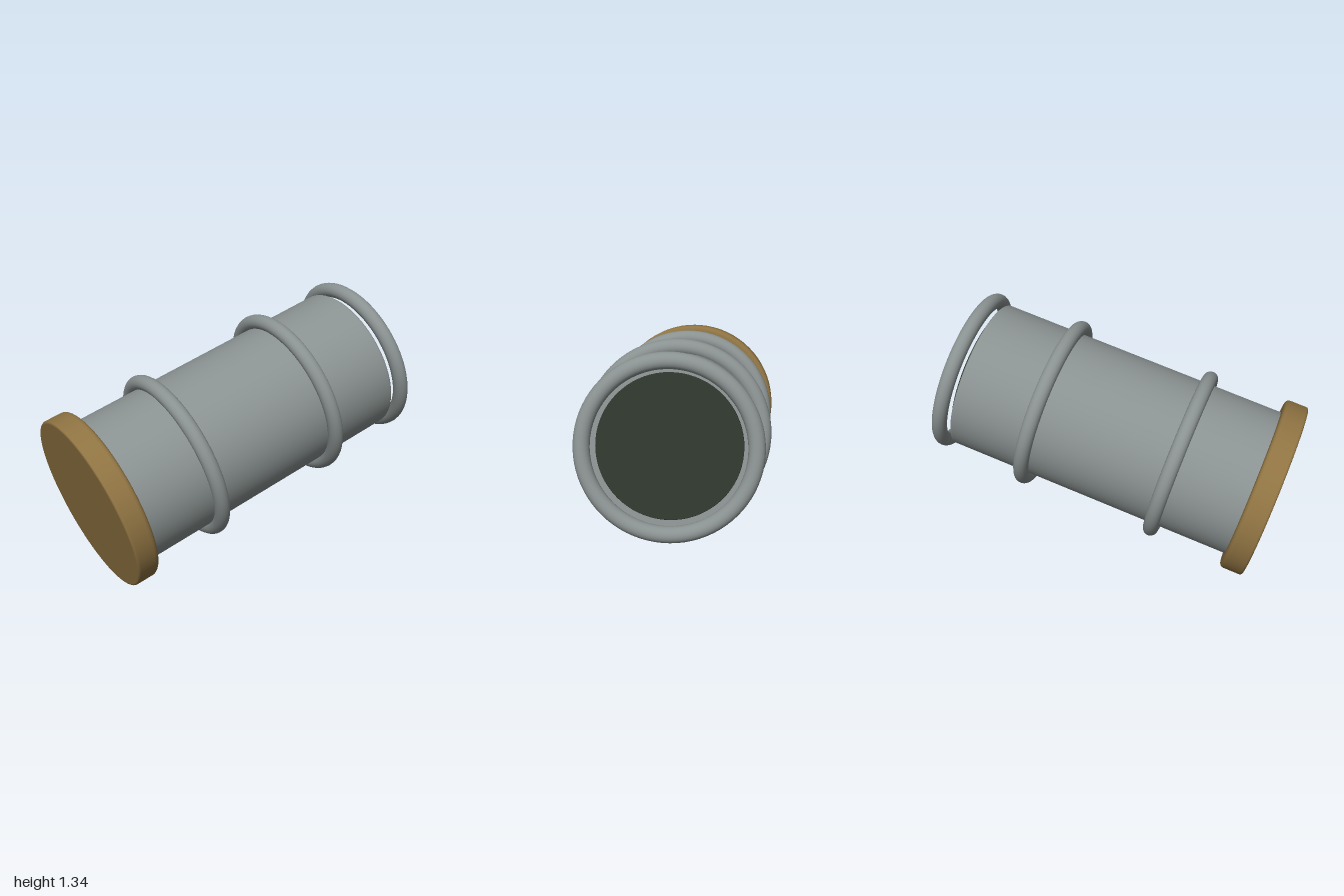
import * as THREE from 'three';

const grey = new THREE.MeshStandardMaterial({ color: 0x8a9291 });
grey.name = 'steel grey';
const brown = new THREE.MeshStandardMaterial({ color: 0x8f7342 });
brown.name = 'brass brown';
const dark = new THREE.MeshStandardMaterial({ color: 0x2f372e });
dark.name = 'dark glass';

// Solid drum along y with rounded rims
function drum(name, material, radius, y0, y1, bevel0, bevel1) {
  const eps = 0.001;
  const points = [new THREE.Vector2(0, y0), new THREE.Vector2(radius - bevel0 - eps, y0)];
  const arc = (cy, b, from) => {
    for (let i = 0; i <= 5; i++) {
      const a = from + (i / 5) * Math.PI / 2;
      points.push(new THREE.Vector2(radius - b + Math.cos(a) * b, cy + Math.sin(a) * b));
    }
  };
  arc(y0 + bevel0, bevel0, -Math.PI / 2);
  points.push(new THREE.Vector2(radius, y0 + bevel0 + eps), new THREE.Vector2(radius, y1 - bevel1 - eps));
  arc(y1 - bevel1, bevel1, 0);
  points.push(new THREE.Vector2(radius - bevel1 - eps, y1), new THREE.Vector2(0, y1));
  const mesh = new THREE.Mesh(new THREE.LatheGeometry(points, 72), material);
  mesh.name = name;
  return mesh;
}

// Round hoop around the y axis
function hoop(name, radius, y) {
  const geometry = new THREE.TorusGeometry(radius, 0.04, 20, 80);
  geometry.rotateX(Math.PI / 2);
  const mesh = new THREE.Mesh(geometry, grey);
  mesh.name = name;
  mesh.position.y = y;
  return mesh;
}

export function createModel() {
  const model = new THREE.Group();
  model.name = 'tiltedTube';

  // Everything is built along y, then tilted onto the tube axis
  const tube = new THREE.Group();
  tube.name = 'tube';
  tube.add(
    drum('body', grey, 0.406, -0.45, 1.177, 0.015, 0.015),
    drum('endCap', brown, 0.481, -0.54, -0.413, 0.012, 0.025),
    drum('lens', dark, 0.347, 1.1, 1.195, 0.003, 0.003),
    hoop('lowerBand', 0.434, 0),
    hoop('upperBand', 0.434, 0.748),
    hoop('mouthRing', 0.406, 1.235)
  );
  const axis = new THREE.Vector3(0.802, 0.251, -0.5425).normalize();
  tube.quaternion.setFromUnitVectors(new THREE.Vector3(0, 1, 0), axis);
  tube.position.set(-0.28, 0.6, 0.175);
  model.add(tube);
  return model;
}
